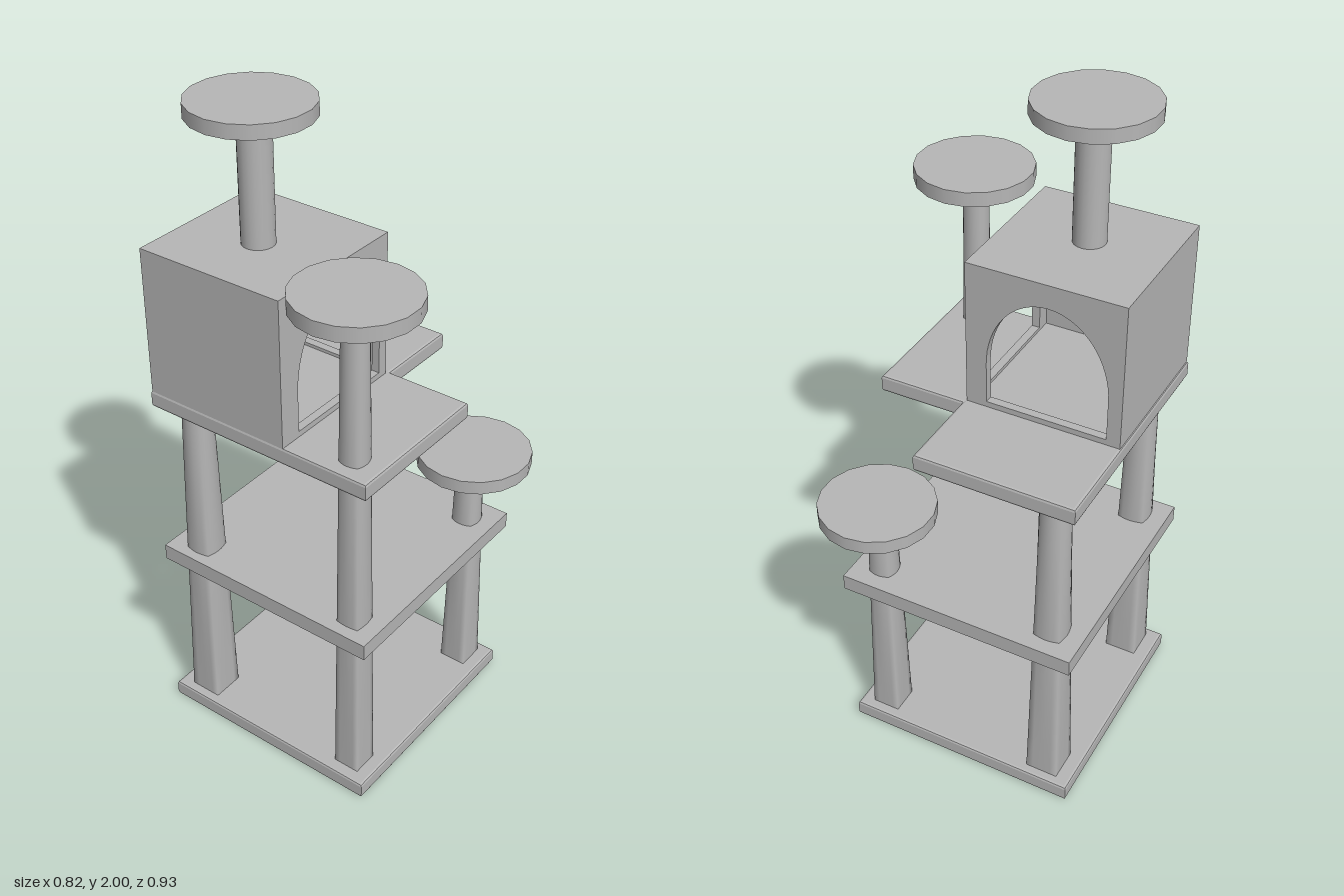
import * as THREE from 'three';

export function createModel() {
  const group = new THREE.Group();
  const grey = new THREE.MeshStandardMaterial({ color: 0xb6b6b6 });
  grey.name = 'plainGrey';

  const add = (name, geometry, parent = group) => {
    const mesh = new THREE.Mesh(geometry, grey);
    mesh.name = name;
    parent.add(mesh);
    return mesh;
  };

  // Horizontal board from an outline of [x, z] corners, with optional softened edges
  const board = (name, corners, bottom, top, bevel) => {
    const shape = new THREE.Shape(corners.map(([x, z]) => new THREE.Vector2(x, z)));
    const geo = new THREE.ExtrudeGeometry(shape, {
      depth: top - bottom - 2 * bevel, bevelEnabled: bevel > 0, bevelThickness: bevel,
      bevelSize: bevel, bevelOffset: -bevel, bevelSegments: 2,
    });
    geo.rotateX(Math.PI / 2);
    geo.translate(0, top - bevel, 0);
    add(name, geo);
  };

  board('base', [[-0.41, -0.362], [0.318, -0.362], [0.318, 0.366], [-0.41, 0.366]], 0, 0.052, 0.008);
  board('middlePlatform', [[-0.413, -0.377], [0.322, -0.377], [0.322, 0.364], [-0.413, 0.364]], 0.558, 0.608, 0);
  board('upperPlatform', [[-0.413, -0.377], [0.063, -0.377], [0.063, -0.11], [0.324, -0.11],
    [0.324, 0.364], [-0.413, 0.364]], 1.105, 1.158, 0.008);

  // Post that blends from a square foot into a round top
  const post = (name, x, z, bottom, top, half, radius) => {
    const height = top - bottom;
    const geo = new THREE.CylinderGeometry(radius, radius, height, 24, 8, true);
    const p = geo.attributes.position;
    for (let i = 0; i < p.count; i++) {
      const t = p.getY(i) / height + 0.5;
      const s = p.getX(i) / radius, c = p.getZ(i) / radius;
      const square = half / Math.max(Math.abs(s), Math.abs(c));
      const r = THREE.MathUtils.lerp(square, radius, t);
      p.setXYZ(i, s * r, p.getY(i), c * r);
    }
    geo.computeVertexNormals();
    // Match normals across the seam, which faces straight along z
    const n = geo.attributes.normal;
    for (let row = 0; row <= 8; row++) {
      for (const i of [row * 25, row * 25 + 24]) n.setXYZ(i, 0, 0, 1);
    }
    add(name, geo).position.set(x, (top + bottom) / 2, z);
  };

  post('frontRightPost', -0.315, 0.288, 0.045, 1.11, 0.05, 0.044);
  post('backRightPost', -0.315, -0.284, 0.045, 1.11, 0.05, 0.044);
  post('frontLeftPost', 0.234, 0.288, 0.045, 1.625, 0.041, 0.037);
  post('backLeftPost', 0.234, -0.288, 0.045, 0.835, 0.043, 0.041);

  // Round perches
  const perch = (name, x, z, bottom, top) =>
    add(name, new THREE.CylinderGeometry(0.172, 0.172, top - bottom, 18))
      .position.set(x, (top + bottom) / 2, z);
  perch('topPerch', -0.184, 0.16, 1.96, 2);
  perch('frontPerch', 0.24, 0.293, 1.615, 1.658);
  perch('backPerch', 0.24, -0.297, 0.822, 0.864);

  // Short post carrying the top perch
  add('topPost', new THREE.CylinderGeometry(0.047, 0.047, 0.37, 20))
    .position.set(-0.182, 1.78, 0.153);

  // Hollow house with two arched doorways
  const house = new THREE.Group();
  house.name = 'house';
  group.add(house);
  const x0 = -0.408, x1 = 0.055, z0 = -0.098, z1 = 0.364, y0 = 1.157, y1 = 1.6, wall = 0.025;
  const slab = (name, ax, bx, ay, by, az, bz) =>
    add(name, new THREE.BoxGeometry(bx - ax, by - ay, bz - az), house)
      .position.set((ax + bx) / 2, (ay + by) / 2, (az + bz) / 2);
  slab('houseFrontWall', x0, x1, y0, y1 - wall, z1 - wall, z1);
  slab('houseSideWall', x0, x0 + wall, y0, y1 - wall, z0 + wall, z1 - wall);
  slab('houseRoof', x0, x1, y1 - wall, y1, z0, z1);
  slab('houseFloor', x0 + wall, x1 - wall, y0, y0 + 0.008, z0 + wall, z1 - wall);

  const archedWall = (a, b, centre) => {
    const shape = new THREE.Shape([[a, y0], [b, y0], [b, y1 - wall], [a, y1 - wall]]
      .map(([u, y]) => new THREE.Vector2(u, y)));
    const door = new THREE.Path();
    door.moveTo(centre - 0.18, 1.175);
    door.lineTo(centre + 0.18, 1.175);
    door.lineTo(centre + 0.18, 1.3);
    door.absellipse(centre, 1.3, 0.18, 0.23, 0, Math.PI, false, 0);
    door.closePath();
    shape.holes.push(door);
    return new THREE.ExtrudeGeometry(shape, { depth: wall, bevelEnabled: false, curveSegments: 16 });
  };
  add('houseBackDoorWall', archedWall(x0, x1, -0.187), house).position.z = z0;
  const side = add('houseLeftDoorWall', archedWall(z0 + wall, z1 - wall, 0.115), house);
  side.rotation.y = -Math.PI / 2;
  side.position.x = x1;

  return group;
}
